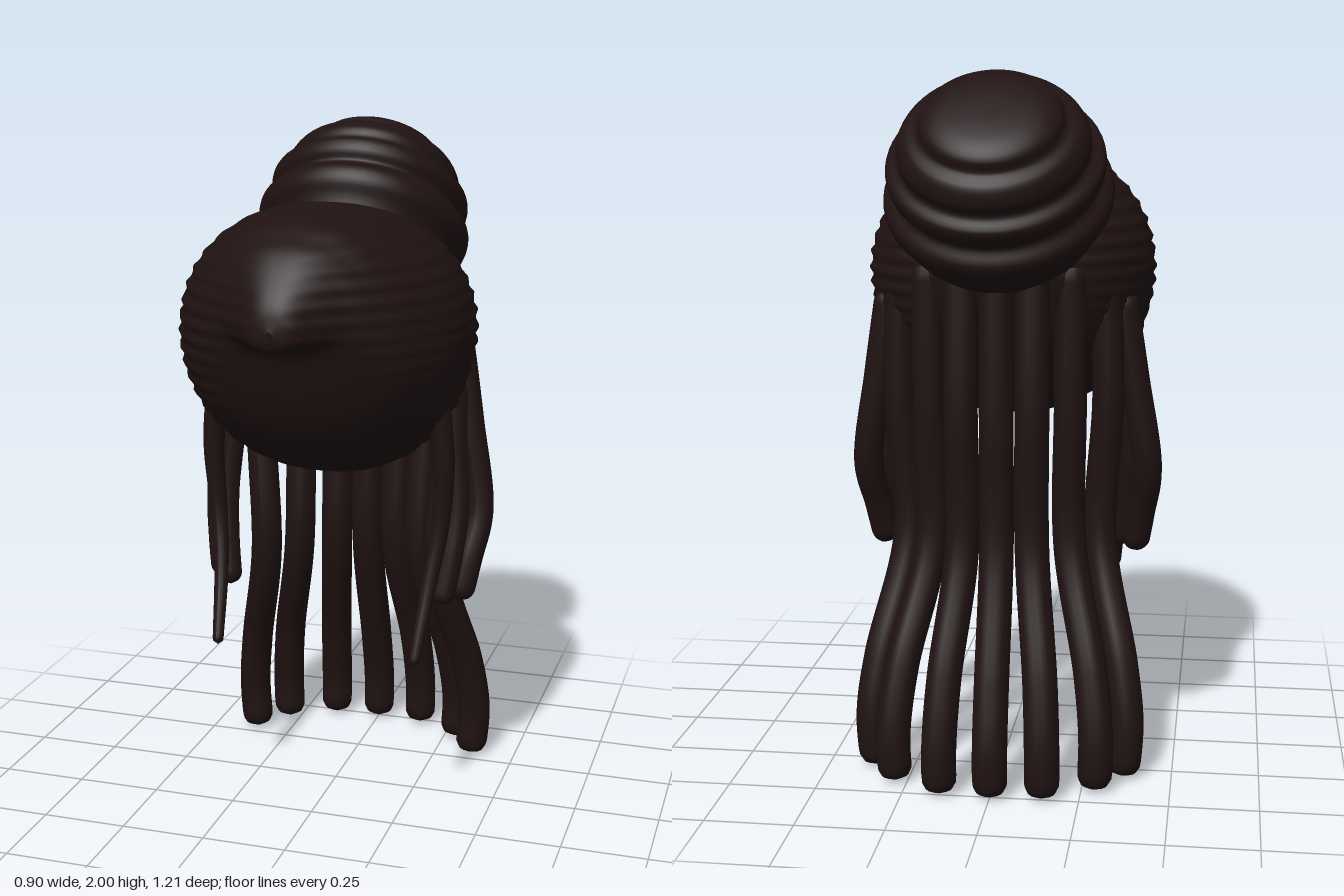
import * as THREE from 'three';

const material = new THREE.MeshStandardMaterial({ color: 0x201212 });

function addMesh(group, geometry, name) {
  const mesh = new THREE.Mesh(geometry, material);
  mesh.name = name;
  group.add(mesh);
  return mesh;
}

// Head of hair: closed loft along z with fine horizontal ribs on the sides
function hairCapGeometry() {
  // z, top, bottom, half width, height of widest point
  const rows = [
    [0.595, 1.53, 1.50, 0.01, 1.515],
    [0.58, 1.59, 1.475, 0.06, 1.52],
    [0.54, 1.655, 1.465, 0.11, 1.53],
    [0.49, 1.715, 1.44, 0.17, 1.53],
    [0.44, 1.75, 1.31, 0.24, 1.50],
    [0.36, 1.79, 1.18, 0.32, 1.47],
    [0.22, 1.805, 1.075, 0.395, 1.45],
    [0.08, 1.805, 1.025, 0.415, 1.45],
    [-0.06, 1.78, 1.03, 0.405, 1.45],
    [-0.18, 1.74, 1.12, 0.36, 1.45],
    [-0.28, 1.68, 1.25, 0.28, 1.46],
    [-0.35, 1.58, 1.40, 0.14, 1.48],
    [-0.37, 1.50, 1.48, 0.01, 1.49],
  ];
  const spline = (u, v) => new THREE.CatmullRomCurve3(
    rows.map(r => new THREE.Vector3(r[0], r[u], r[v])), false, 'catmullrom', 0.5);
  const heights = spline(1, 2), widths = spline(3, 4);
  const nz = 72, na = 128, pos = [], index = [];
  for (let i = 0; i <= nz; i++) {
    const h = heights.getPoint(i / nz), w = widths.getPoint(i / nz);
    for (let j = 0; j < na; j++) {
      const a = (j / na) * Math.PI * 2, c = Math.cos(a), s = Math.sin(a);
      const y = w.z + s * (s > 0 ? h.y - w.z : w.z - h.z);
      const rib = 0.006 * Math.sin(y * Math.PI * 2 / 0.045) * Math.min(1, w.y / 0.3);
      pos.push(Math.sign(c) * Math.pow(Math.abs(c), 0.88) * (w.y + rib), y, h.x);
    }
  }
  for (let i = 0; i < nz; i++) {
    for (let j = 0; j < na; j++) {
      const a = i * na + j, b = i * na + (j + 1) % na;
      index.push(a, a + na, b, b, a + na, b + na);
    }
  }
  const g = new THREE.BufferGeometry();
  g.setAttribute('position', new THREE.Float32BufferAttribute(pos, 3));
  g.setIndex(index);
  g.computeVertexNormals();
  return g;
}

// Round-ended lock of hair following points, with a start and end radius
function lockGeometry(points, r0, r1) {
  const curve = new THREE.CatmullRomCurve3(points.map(p => new THREE.Vector3(...p)));
  const n = 80, sides = 14, length = curve.getLength();
  const g = new THREE.TubeGeometry(curve, n, 1, sides, false);
  const p = g.attributes.position, v = new THREE.Vector3();
  for (let i = 0; i <= n; i++) {
    const t = i / n, centre = curve.getPointAt(t);
    const radius = THREE.MathUtils.lerp(r0, r1, t);
    const d = Math.min(1, Math.min(t, 1 - t) * length / radius);
    const f = radius * Math.sqrt(1 - (1 - d) * (1 - d));
    for (let j = 0; j <= sides; j++) {
      const k = i * (sides + 1) + j;
      v.fromBufferAttribute(p, k).sub(centre).multiplyScalar(f).add(centre);
      p.setXYZ(k, v.x, v.y, v.z);
    }
  }
  g.computeVertexNormals();
  return g;
}

export function createModel() {
  const group = new THREE.Group();
  group.name = 'hair';
  addMesh(group, hairCapGeometry(), 'hairCap');

  // Coiled bun: stacked rolls turned about an axis leaning back
  const profile = [
    [0, -0.16], [0.19, -0.13], [0.26, -0.07], [0.29, -0.01], [0.315, 0.03], [0.315, 0.075],
    [0.282, 0.11], [0.298, 0.14], [0.296, 0.18], [0.262, 0.205], [0.262, 0.24], [0.238, 0.28],
    [0.2, 0.298], [0.185, 0.33], [0.14, 0.352], [0.07, 0.362], [0, 0.364],
  ].map(([r, h]) => new THREE.Vector2(r, h));
  const smooth = new THREE.SplineCurve(profile).getPoints(70);
  smooth.forEach(q => { q.x = Math.max(0, q.x); });
  const bun = addMesh(group, new THREE.LatheGeometry(smooth, 56), 'bun');
  bun.position.set(0, 1.64, -0.25);
  bun.rotation.x = -0.677;

  // Centre back lock
  addMesh(group, lockGeometry(
    [[0, 1.5, -0.34], [0, 1.1, -0.35], [0, 0.68, -0.35], [0, 0.32, -0.46], [0, 0.15, -0.5], [0, 0.01, -0.5]],
    0.048, 0.05), 'centreBackLock');

  // Locks repeated on both sides
  const sideLocks = [
    ['innerBackLock', 0.048, 0.05,
      [[0.1, 1.5, -0.33], [0.1, 1.1, -0.35], [0.1, 0.68, -0.34], [0.135, 0.34, -0.45], [0.145, 0.15, -0.49], [0.145, 0.01, -0.49]]],
    ['middleBackLock', 0.045, 0.05,
      [[0.2, 1.5, -0.29], [0.2, 1.1, -0.28], [0.2, 0.68, -0.26], [0.27, 0.34, -0.37], [0.29, 0.15, -0.41], [0.285, 0.01, -0.41]]],
    ['outerBackLock', 0.045, 0.05,
      [[0.29, 1.45, -0.2], [0.3, 1.1, -0.19], [0.28, 0.68, -0.17], [0.35, 0.34, -0.27], [0.37, 0.17, -0.3], [0.36, 0.01, -0.3]]],
    ['sideLock', 0.045, 0.042,
      [[0.33, 1.4, -0.15], [0.37, 1.15, -0.14], [0.41, 0.88, -0.12], [0.39, 0.74, -0.07], [0.37, 0.62, -0.04]]],
    ['innerSideLock', 0.04, 0.036,
      [[0.34, 1.28, -0.07], [0.345, 1.1, -0.06], [0.36, 0.9, -0.04], [0.35, 0.76, -0.01], [0.33, 0.62, 0.02]]],
    ['frontWisp', 0.036, 0.016,
      [[0.33, 1.26, 0.1], [0.35, 1.08, 0.09], [0.34, 0.88, 0.085], [0.32, 0.72, 0.125], [0.3, 0.5, 0.22]]],
  ];
  for (const [name, r0, r1, points] of sideLocks) {
    for (const [side, s] of [['left', 1], ['right', -1]]) {
      const path = points.map(([x, y, z]) => [x * s, y, z]);
      addMesh(group, lockGeometry(path, r0, r1), `${name} ${side}`);
    }
  }
  return group;
}
